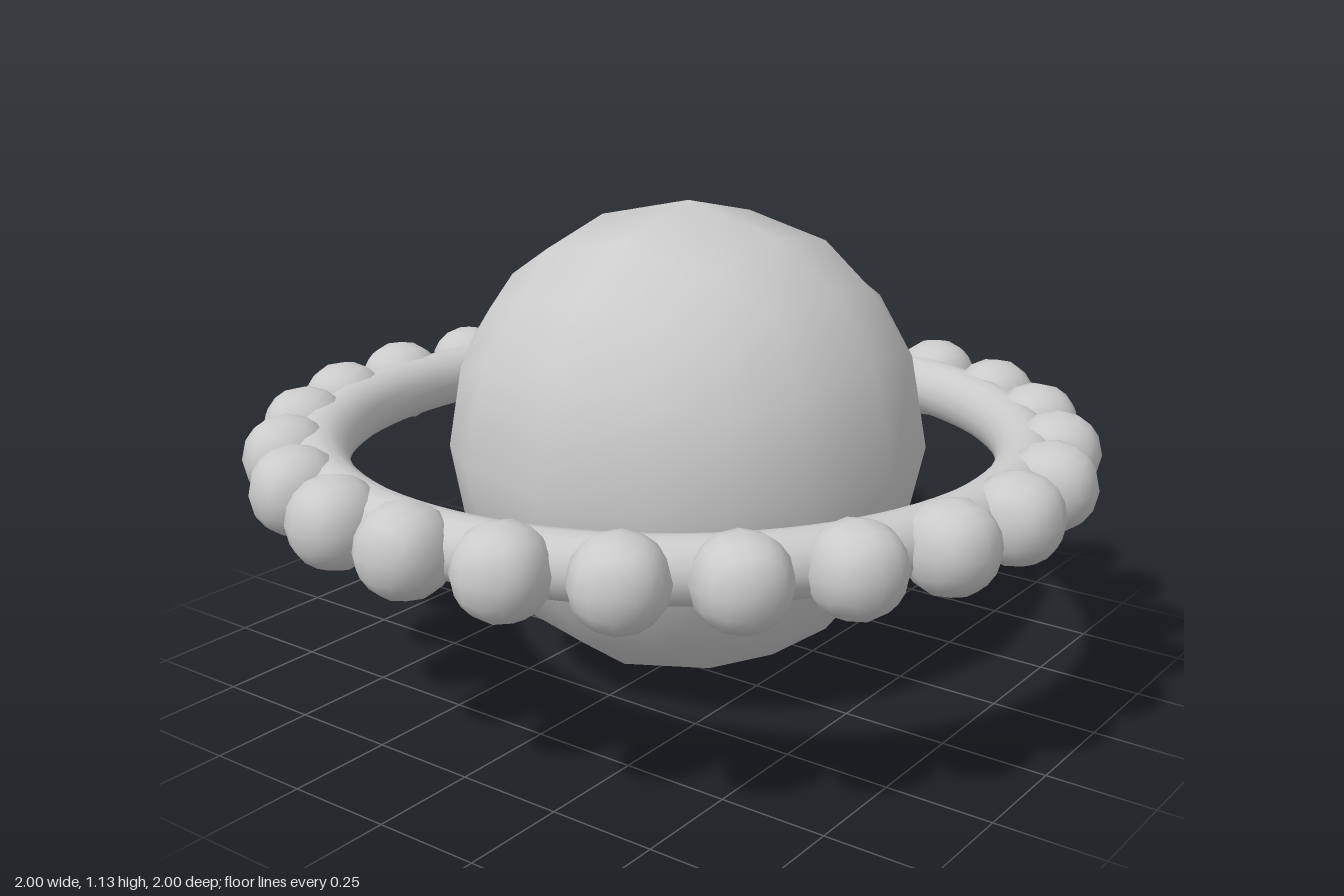
import * as THREE from 'three';
import { mergeVertices } from 'three/addons/utils/BufferGeometryUtils.js';

const material = new THREE.MeshStandardMaterial({ color: 0xcccccc, side: THREE.DoubleSide });
const CENTER_Y = 0.57;
const GLOBE_X = 0.06;
const GLOBE_R = 0.567;

// Sphere made from a box with 4 x 4 faces per side
function boxSphere(radius) {
  const box = new THREE.BoxGeometry(2, 2, 2, 4, 4, 4);
  box.deleteAttribute('uv');
  box.deleteAttribute('normal');
  const geometry = mergeVertices(box);
  const pos = geometry.attributes.position;
  const v = new THREE.Vector3();
  for (let i = 0; i < pos.count; i++) {
    v.fromBufferAttribute(pos, i).setLength(radius);
    pos.setXYZ(i, v.x, v.y, v.z);
  }
  geometry.computeVertexNormals();
  return geometry;
}

// Rim of the crater on the +x side, as [y, z] going round
const RIM = [[0.254, 0], [0.225, 0.24], [0, 0.34], [-0.225, 0.24],
  [-0.254, 0], [-0.225, -0.24], [0, -0.34], [0.225, -0.24]];
const onSphere = (y, z) => [Math.sqrt(GLOBE_R ** 2 - y * y - z * z), y, z];

// Globe with the four middle faces of its +x side left open
function globeGeometry() {
  const geometry = boxSphere(GLOBE_R);
  const pos = geometry.attributes.position;
  const inRim = (i) => pos.getX(i) > 0.45 && Math.abs(pos.getY(i)) < 0.26 && Math.abs(pos.getZ(i)) < 0.26;
  const index = [];
  for (let i = 0; i < geometry.index.count; i += 3) {
    const tri = [0, 1, 2].map((k) => geometry.index.getX(i + k));
    if (!tri.every(inRim)) index.push(...tri);
  }
  const normals = pos.clone();
  geometry.setIndex(index);
  // Stretch the crater rim and the loop beside it sideways
  for (let i = 0; i < pos.count; i++) {
    const y = pos.getY(i), z = pos.getZ(i);
    if (inRim(i)) {
      const sy = Math.abs(y) < 0.01 ? 0 : Math.sign(y);
      const sz = Math.abs(z) < 0.01 ? 0 : Math.sign(z);
      const rim = RIM.find((p) => Math.sign(p[0]) === sy && Math.sign(p[1]) === sz);
      if (rim) pos.setXYZ(i, ...onSphere(...rim));
    } else if (pos.getX(i) > 0.3 && Math.abs(z) > 0.3 && Math.abs(y) < 0.3) {
      pos.setXYZ(i, ...onSphere(y, z * 1.1));
    }
  }
  for (let i = 0; i < pos.count; i++) {
    const n = new THREE.Vector3().fromBufferAttribute(pos, i).normalize();
    normals.setXYZ(i, n.x, n.y, n.z);
  }
  geometry.setAttribute('normal', normals);
  return geometry;
}

// Loops joined by quads and closed with a fan when the last loop is a point
function loopSurface(loops) {
  const n = loops[0].length;
  const index = [];
  for (let r = 0; r + 1 < loops.length; r++) {
    for (let i = 0; i < n; i++) {
      const a = r * n + i, b = r * n + (i + 1) % n;
      index.push(a, a + n, b, b, a + n, b + n);
    }
  }
  const geometry = new THREE.BufferGeometry();
  geometry.setAttribute('position', new THREE.Float32BufferAttribute(loops.flat(2), 3));
  geometry.setIndex(index);
  const merged = mergeVertices(geometry);
  merged.computeVertexNormals();
  return merged;
}

// Sunken, gently domed crater floor
const floorPoint = ([y, z], s) => {
  const r2 = (y * y + z * z) * s * s;
  return [0.547 - 0.97 * r2, y * s, z * s];
};

function addMesh(parent, name, geometry) {
  const mesh = new THREE.Mesh(geometry, material);
  mesh.name = name;
  parent.add(mesh);
  return mesh;
}

export function createModel() {
  const model = new THREE.Group();
  model.name = 'ringedPlanet';

  // Planet and its crater
  const planet = new THREE.Group();
  planet.name = 'planet';
  planet.position.set(GLOBE_X, CENTER_Y, 0);
  model.add(planet);
  addMesh(planet, 'globe', globeGeometry());
  const floorLoops = [0.89, 0.6, 0.3, 0].map((s) => RIM.map((p) => floorPoint(p, s)));
  addMesh(planet, 'craterLip', loopSurface([RIM.map((p) => onSphere(...p)), floorLoops[0]]));
  addMesh(planet, 'craterFloor', loopSurface(floorLoops));

  // Ring band
  const ring = addMesh(model, 'ring', new THREE.TorusGeometry(0.825, 0.071, 16, 96));
  ring.rotation.x = Math.PI / 2;
  ring.position.y = CENTER_Y;

  // Beads around the ring
  const beads = new THREE.Group();
  beads.name = 'beads';
  model.add(beads);
  const beadGeometry = boxSphere(0.104);
  for (let i = 0; i < 24; i++) {
    const angle = (i / 24) * Math.PI * 2;
    const bead = addMesh(beads, 'bead', beadGeometry);
    bead.position.set(Math.cos(angle) * 0.896, CENTER_Y, -Math.sin(angle) * 0.896);
    bead.rotation.y = angle;
  }
  return model;
}
